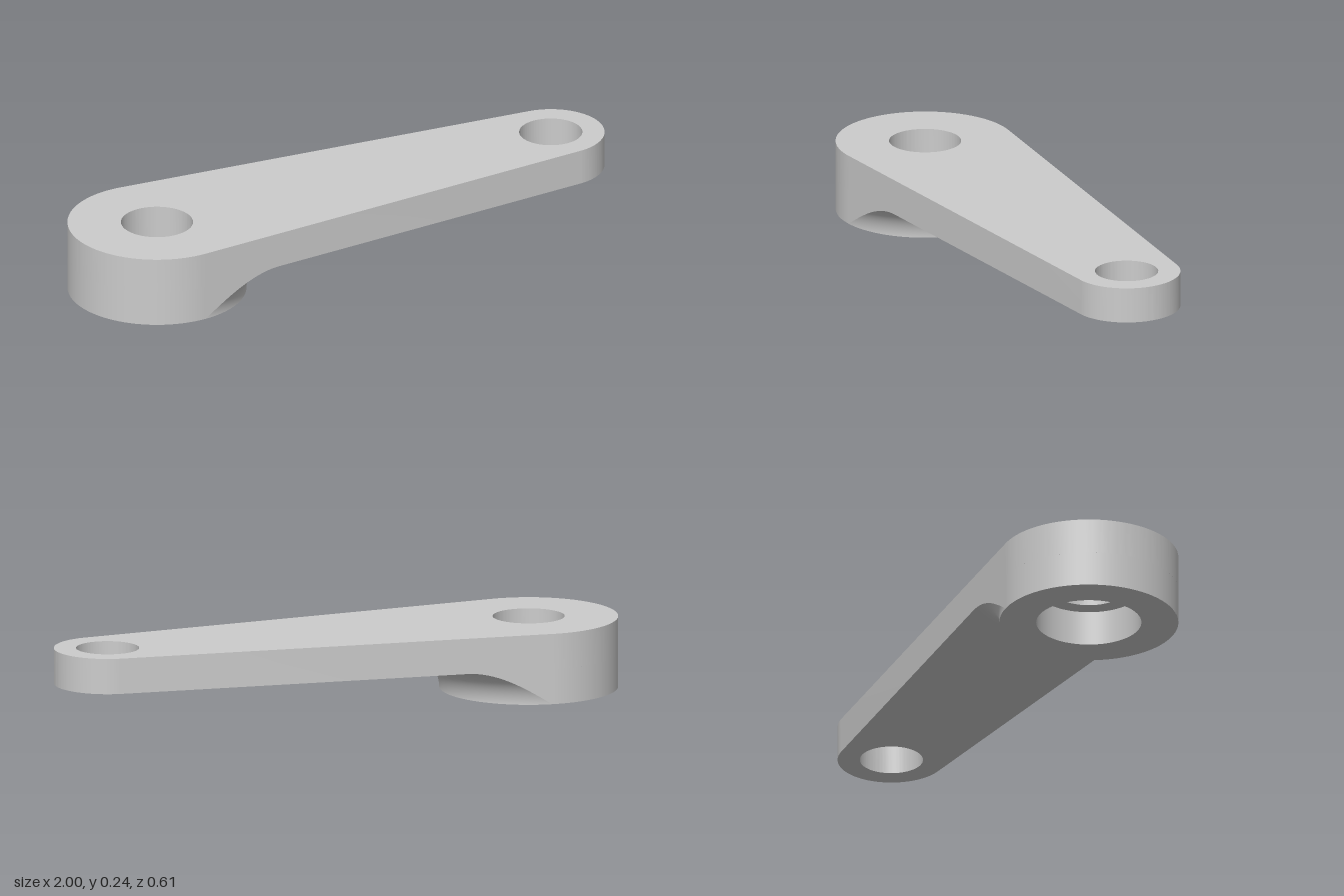
import * as THREE from 'three';
import { toCreasedNormals } from 'three/addons/utils/BufferGeometryUtils.js';
import { ParametricGeometry } from 'three/addons/geometries/ParametricGeometry.js';

const BIG = { x: -0.697, r: 0.303, hole: 0.122, bore: 0.178 };
const SMALL = { x: 0.818, r: 0.182, hole: 0.107 };
const T = 0.121;    // plate thickness, boss drop and fillet radius
const TOP = 0.243;

// Angle at which the straight flanks touch both round ends
const PHI = Math.acos((BIG.r - SMALL.r) / (SMALL.x - BIG.x));
// Angle from the flank contact to where the fillet reaches its full width
const DELTA = Math.acos(BIG.r / (BIG.r + T));

export function createModel() {
  const group = new THREE.Group();
  const material = new THREE.MeshStandardMaterial({ color: 0xcccccc });
  const add = (name, geometry) => {
    const mesh = new THREE.Mesh(geometry, material);
    mesh.name = name;
    group.add(mesh);
  };

  // Tapered arm plate with two through holes
  const outline = new THREE.Shape();
  outline.absarc(SMALL.x, 0, SMALL.r, -PHI, PHI, false);
  outline.absarc(BIG.x, 0, BIG.r, PHI, 2 * Math.PI - PHI, false);
  outline.closePath();
  for (const end of [BIG, SMALL]) {
    outline.holes.push(new THREE.Path().absarc(end.x, 0, end.hole, 0, 2 * Math.PI, true));
  }
  const plate = new THREE.ExtrudeGeometry(outline, { depth: TOP - T, bevelEnabled: false, curveSegments: 64 });
  plate.rotateX(-Math.PI / 2).translate(0, T, 0);
  add('armPlate', toCreasedNormals(plate, 0.5));

  // Surface around the boss axis: profile(angle, v) gives [radius, height]
  const around = (name, from, to, profile, slices, stacks) => {
    add(name, new ParametricGeometry((u, v, target) => {
      const a = from + (to - from) * u;
      const [r, y] = profile(a, v);
      target.set(BIG.x + r * Math.cos(a), y, r * Math.sin(a));
    }, slices, stacks));
  };

  // Boss: outer wall, underside ring and counterbore
  around('bossWall', 2 * Math.PI - PHI, PHI, (a, v) => [BIG.r, T * v], 72, 1);
  around('bossUnderside', 2 * Math.PI, 0, (a, v) => [BIG.bore + (BIG.r - BIG.bore) * v, 0], 96, 1);
  around('counterbore', 0, 2 * Math.PI, (a, v) => [BIG.bore, T * v], 96, 1);

  // Concave fillet from boss to arm, trimmed by the straight flanks
  const reach = (a) => Math.min(BIG.r + T, BIG.r / Math.cos(PHI - Math.abs(a)));
  const sweep = (a) => Math.acos(Math.max(0, 1 - (reach(a) - BIG.r) / T));
  const fillet = (a, v) => {
    const s = sweep(a) * v;
    return [BIG.r + T * (1 - Math.cos(s)), T * Math.sin(s)];
  };
  const end = PHI - 0.0005;
  const kink = PHI - DELTA;
  around('filletLeft', end, kink, fillet, 28, 20);
  around('filletMiddle', kink, -kink, fillet, 40, 20);
  around('filletRight', -kink, -end, fillet, 28, 20);

  // Flank walls between the fillet's trimmed edge and the plate
  const flank = (a, v) => {
    const y = T * Math.sin(sweep(a));
    return [reach(a), y + (T - y) * v];
  };
  around('flankLeft', PHI, kink, flank, 28, 1);
  around('flankRight', -kink, -PHI, flank, 28, 1);

  return group;
}
